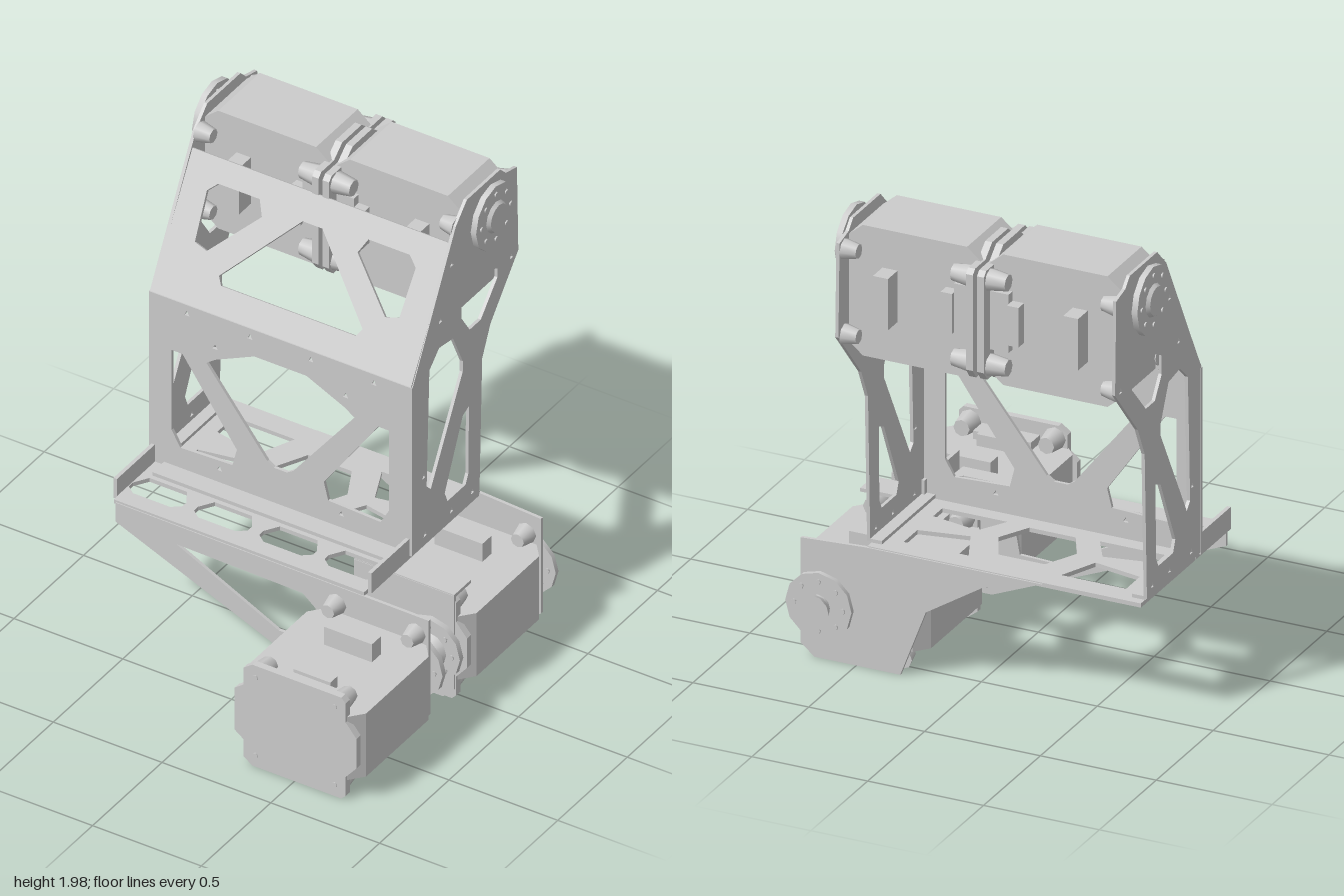
import * as THREE from 'three';

const grey = new THREE.MeshStandardMaterial({ color: 0xcccccc });
const CX = -0.135; // centre line of the upper frame

const mesh = (name, geo, x = 0, y = 0, z = 0) => {
  const m = new THREE.Mesh(geo, grey);
  m.name = name;
  m.position.set(x, y, z);
  return m;
};
const box = (name, x0, x1, y0, y1, z0, z1) =>
  mesh(name, new THREE.BoxGeometry(x1 - x0, y1 - y0, z1 - z0), (x0 + x1) / 2, (y0 + y1) / 2, (z0 + z1) / 2);
const path = (C, pts) => new C(pts.map(([x, y]) => new THREE.Vector2(x, y)));
const mirrorX = pts => pts.map(([x, y]) => [-x, y]).reverse();
const both = pts => [pts, mirrorX(pts)];
const symmetric = half => [...half, ...mirrorX(half)];
const screwHole = ([x, y]) => [[x - 0.012, y - 0.01], [x + 0.012, y - 0.01], [x, y + 0.012]];

// Sheet-metal plate with cut-outs, centred on its own thickness
function plate(name, outline, holes = [], thick = 0.014) {
  const shape = path(THREE.Shape, outline);
  shape.holes = holes.map(h => path(THREE.Path, h));
  const geo = new THREE.ExtrudeGeometry(shape, { depth: thick, bevelEnabled: false });
  return mesh(name, geo.translate(0, 0, -thick / 2));
}

// Round part along local z, from a0 to a1
function round(name, r0, r1, a0, a1, sides = 12, x = 0, y = 0) {
  const geo = new THREE.CylinderGeometry(r1, r0, a1 - a0, sides).rotateX(Math.PI / 2);
  return mesh(name, geo, x, y, (a0 + a1) / 2);
}

// Horn disc with a ring of screw heads
function horn(a0, a1) {
  const g = new THREE.Group();
  g.name = 'hornDisc';
  g.add(round('disc', 0.143, 0.143, a0, a1, 12));
  for (let i = 0; i < 8; i++) {
    const t = (i / 8) * Math.PI * 2;
    g.add(round('hornScrew', 0.012, 0.012, a0 - 0.006, a1 + 0.006, 5, 0.105 * Math.cos(t), 0.105 * Math.sin(t)));
  }
  return g;
}

// Motor: x is its width, y its thickness, z its shaft axis (0 = rear, 0.58 = shaft face)
function motor(name) {
  const g = new THREE.Group();
  g.name = name;
  const body = plate('motorBody', [[-0.37, 0.01], [0.09, 0.01], [0.14, 0.07], [0.14, 0.52], [0.09, 0.58],
    [-0.37, 0.58], [-0.42, 0.52], [-0.42, 0.07]], [], 0.3);
  body.rotation.x = Math.PI / 2;
  g.add(body);
  // rear cover
  g.add(plate('rearCover', [[-0.34, -0.24], [0.07, -0.24], [0.09, -0.22], [0.09, -0.13], [0.14, -0.07], [0.14, 0.07],
    [0.09, 0.13], [0.09, 0.22], [0.07, 0.24], [-0.34, 0.24], [-0.38, 0.21], [-0.38, 0.13], [-0.42, 0.1],
    [-0.42, -0.1], [-0.38, -0.13], [-0.38, -0.21]], [], 0.03).translateZ(0.016));
  for (const s of [-1, 1]) {
    for (const w of [-0.325, 0.04]) {
      g.add(round('rearEar', 0.05, 0.035, 0.01, 0.11, 8, w, s * 0.185));
      g.add(round('frontEar', 0.03, 0.045, 0.52, 0.585, 8, w, s * 0.185));
      g.add(round('coverScrew', 0.012, 0.012, -0.004, 0.02, 6, w, s * 0.185));
    }
    const tab = (w0, w1, h, a0, a1) =>
      g.add(box('mountTab', w0, w1, s * 0.15 - (s < 0 ? h : 0.01), s * 0.15 + (s > 0 ? h : 0.01), a0, a1));
    tab(-0.245, -0.025, 0.085, 0.37, 0.435);
    tab(-0.22, -0.05, 0.05, 0.11, 0.16);
    tab(-0.26, -0.01, 0.035, 0.02, 0.11);
  }
  g.add(round('shaft', 0.08, 0.08, 0.57, 0.64, 10));
  return g;
}

// Put a motor at p with its width and shaft axes pointing along w and a
function place(m, w, a, p) {
  const W = new THREE.Vector3(...w), A = new THREE.Vector3(...a);
  m.quaternion.setFromRotationMatrix(new THREE.Matrix4().makeBasis(W, A.clone().cross(W), A));
  m.position.set(...p);
  return m;
}

export function createModel() {
  const model = new THREE.Group();
  model.name = 'motorFrame';

  // Upright side plates, drawn as (depth to the rear, height)
  const sideOutline = [[0.07, 0.54], [0.55, 0.54], [0.57, 1.17], [0.63, 1.3], [0.83, 1.53], [0.82, 1.93],
    [0.74, 1.95], [0.7, 1.99], [0.46, 1.99], [0.38, 1.91], [0.07, 1.33]];
  const sideHoles = [
    [[0.19, 1.34], [0.26, 1.405], [0.36, 1.39], [0.43, 1.24], [0.43, 1.19], [0.2, 0.77], [0.17, 0.8]],
    [[0.43, 0.98], [0.475, 1.0], [0.47, 0.68], [0.45, 0.64], [0.32, 0.64], [0.3, 0.69]],
    [[0.42, 1.53], [0.56, 1.6], [0.68, 1.53], [0.68, 1.49], [0.56, 1.36], [0.48, 1.36], [0.42, 1.45]],
    ...[[0.16, 0.58], [0.35, 0.58], [0.5, 0.58], [0.15, 0.86], [0.27, 1.53], [0.35, 1.75], [0.78, 1.53]].map(screwHole),
  ];
  for (const s of [-1, 1]) {
    const side = plate('sidePlate', sideOutline, sideHoles);
    side.rotation.y = Math.PI / 2;
    side.position.x = CX + s * 0.597;
    model.add(side);
    // foot fold and raised rail beside the base
    const e = CX + s * 0.57;
    model.add(box('sideFoot', e - 0.03, e + 0.03, 0.535, 0.55, -0.55, -0.08));
    model.add(box('sideRail', CX + s * 0.585 - 0.008, CX + s * 0.585 + 0.008, 0.515, 0.61, -0.1, 0.21));
  }

  // Lower front panel
  const front = plate('frontPanel', [[-0.605, 0.53], [0.605, 0.53], [0.605, 1.33], [-0.605, 1.33]], [
    symmetric([[0.03, 0.71], [0.06, 0.73], [0.34, 1.09], [0.3, 1.12], [0.12, 1.205]]),
    ...both([[0.5, 1.09], [0.45, 1.09], [0.2, 0.73], [0.22, 0.65], [0.46, 0.64], [0.5, 0.71]]),
    ...[[0.14, 1.29], [0.43, 1.29], [0.28, 0.61]].flatMap(p => both(screwHole(p))),
    ...both(screwHole([0.3, 1.18])),
  ]);
  front.position.set(CX, 0, -0.07);
  model.add(front, box('frontPanelFoot', -0.67, 0.4, 0.528, 0.545, -0.07, 0.02));

  // Sloping upper front panel; heights stretched along the slope
  const k = 1.15;
  const up = pts => pts.map(([x, y]) => [x, (y - 1.33) * k]);
  const slope = plate('slopedPanel', up([[-0.6, 1.33], [0.6, 1.33], [0.6, 1.84], [-0.6, 1.84]]), [
    symmetric([[0.31, 1.43], [0.33, 1.46], [0.045, 1.735]]),
    ...both([[0.48, 1.72], [0.44, 1.755], [0.25, 1.755], [0.22, 1.7], [0.41, 1.525], [0.47, 1.54]]),
  ].map(up));
  slope.position.set(CX, 1.33, -0.07);
  slope.rotation.x = -Math.atan2(0.29, 0.51);
  model.add(slope);

  // Base sheet, drawn as (x, depth to the rear)
  const slots = [-0.45, -0.15, 0.15, 0.45].map(c => [[-0.13, 0], [-0.09, 0.06], [0.09, 0.06], [0.13, 0], [0.13, -0.03],
    [0.09, -0.06], [-0.09, -0.06], [-0.13, -0.03]].map(([x, y]) => [c + x * 0.95, y - 0.1]).reverse());
  const base = plate('baseSheet', [[-0.575, -0.235], [0.575, -0.235], [0.59, 0.1], [0.59, 0.575], [-0.59, 0.575], [-0.59, 0.1]], [
    ...slots,
    symmetric([[0.1, 0.15], [0.17, 0.28], [0.1, 0.42]]),
    ...both([[0.2, 0.14], [0.48, 0.14], [0.48, 0.22], [0.27, 0.26]]),
    ...both([[0.27, 0.32], [0.48, 0.36], [0.48, 0.48], [0.2, 0.48]]),
  ], 0.018);
  base.rotation.x = -Math.PI / 2;
  base.position.set(CX, 0.52, 0);
  model.add(base);

  // Hanging brackets for the lower motors
  const bracket = plate('frontBracket', [[-0.7, 0.43], [0.31, 0.01], [0.68, 0.01], [0.74, 0.06], [0.74, 0.51], [-0.7, 0.52]],
    [[[-0.42, 0.43], [0.05, 0.2], [0.19, 0.205], [0.22, 0.37], [0.16, 0.42]]]);
  bracket.position.z = 0.232;
  const rear = plate('rearBracket', [[0.31, 0.01], [0.68, 0.01], [0.74, 0.06], [0.74, 0.51], [0.46, 0.525], [-0.3, 0.525],
    [-0.05, 0.46], [0.2, 0.3]]);
  rear.position.z = -0.575;
  const mid = plate('middleBracket', [[0.31, 0.01], [0.68, 0.01], [0.73, 0.06], [0.73, 0.505], [0.27, 0.505], [0.27, 0.06]]);
  mid.position.z = 0.035;
  model.add(bracket, rear, mid, box('middleBracketFold', 0.27, 0.73, 0.495, 0.51, -0.08, 0.04));

  // Lower motors, shafts to the rear
  const frontMotor = motor('frontLowerMotor');
  frontMotor.add(horn(0.615, 0.64), round('coupling', 0.08, 0.04, 0.64, 0.69), round('coupling', 0.04, 0.08, 0.69, 0.74),
    horn(0.74, 0.765), round('coupling', 0.07, 0.07, 0.765, 0.8));
  const rearMotor = motor('rearLowerMotor');
  rearMotor.add(horn(0.635, 0.655), round('hornHub', 0.05, 0.05, 0.65, 0.68), round('hornCap', 0.06, 0.075, 0.68, 0.715));
  model.add(place(frontMotor, [1, 0, 0], [0, 0, -1], [0.645, 0.25, 0.83]));
  model.add(place(rearMotor, [1, 0, 0], [0, 0, -1], [0.645, 0.25, 0.035]));

  // Upper pair of motors, back to back, shafts to the sides
  for (const s of [-1, 1]) {
    const m = motor(s > 0 ? 'upperLeftMotor' : 'upperRightMotor');
    m.add(horn(0.62, 0.645), round('hornCap', 0.07, 0.06, 0.645, 0.66));
    model.add(place(m, [0, 1, 0], [s, 0, 0], [CX + s * 0.008, 1.85, -0.592]));
  }
  return model;
}
